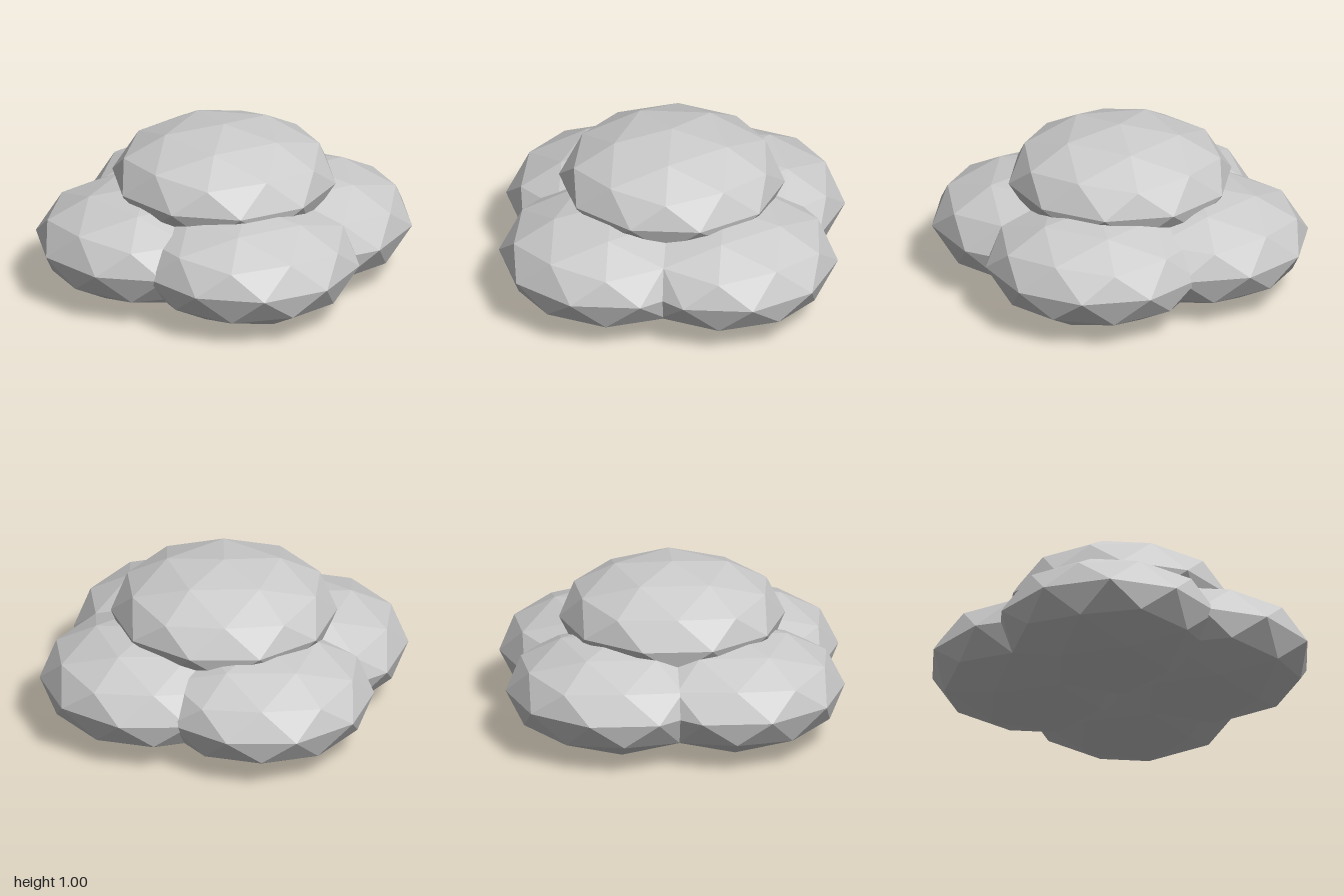
import * as THREE from 'three';

const R = 2 / 3; // puff radius; each puff is squashed to half height

// Low-poly ball with a vertex at the top and a corner of its upper ring toward +x
function puffGeometry() {
  const golden = (1 + Math.sqrt(5)) / 2;
  const geometry = new THREE.IcosahedronGeometry(R, 1);
  geometry.rotateZ(-Math.atan(1 / golden));
  geometry.scale(1, 0.5, 1);
  geometry.computeVertexNormals();
  return geometry;
}

export function createModel() {
  const cloud = new THREE.Group();
  cloud.name = 'cloud';
  const geometry = puffGeometry();
  const material = new THREE.MeshStandardMaterial({ color: 0xcccccc, flatShading: true });

  const addPuff = (name, x, y, z) => {
    const puff = new THREE.Mesh(geometry, material);
    puff.name = name;
    puff.position.set(x, y, z);
    cloud.add(puff);
  };

  // Four overlapping puffs form the base
  for (const [side, sx] of [['Left', 1], ['Right', -1]]) {
    for (const [end, sz] of [['front', 1], ['back', -1]]) {
      addPuff(`${end}${side}Puff`, sx * R / 2, R / 2, sz * R / 2);
    }
  }

  // One puff rests on top in the middle
  addPuff('topPuff', 0, R, 0);
  return cloud;
}
